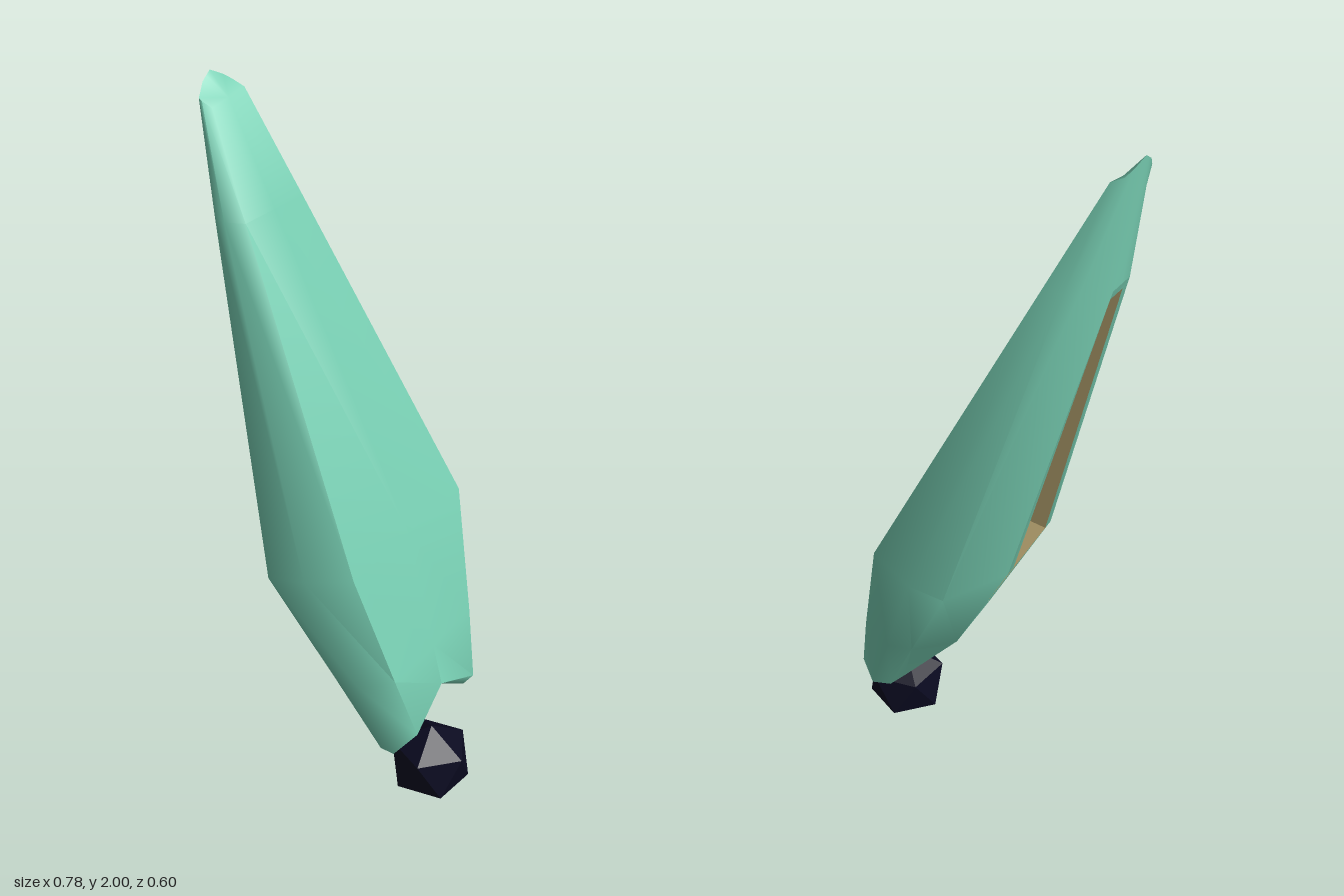
import * as THREE from 'three';
import { toCreasedNormals } from 'three/addons/utils/BufferGeometryUtils.js';

const mat = (name, color) => {
  const m = new THREE.MeshStandardMaterial({ color });
  m.name = name;
  return m;
};

// Collects triangles and quads into one geometry
function surface(crease) {
  const pos = [];
  const tri = (a, b, c) => pos.push(...a, ...b, ...c);
  return {
    tri,
    quad(a, b, c, d) { tri(a, b, c); tri(a, c, d); },
    mesh(name, material) {
      const g = new THREE.BufferGeometry();
      g.setAttribute('position', new THREE.Float32BufferAttribute(pos, 3));
      const m = new THREE.Mesh(toCreasedNormals(g, crease), material);
      m.name = name;
      return m;
    },
  };
}

const mix = (a, b, t) => a.map((v, i) => v + (b[i] - v) * t);

// Cross-sections from bottom to tip: outer front corner, front bevel (2),
// inner front lip, inner back lip, back curve (2), outer back corner
const sections = [
  [[.33, .33, .105], [.285, .265, .15], [.24, .26, .15], [.2, .26, .12],
    [.18, .28, -.15], [.2, .265, -.19], [.25, .26, -.21], [.29, .32, -.2]],
  [[.285, .52, .15], [.21, .495, .208], [.135, .48, .21], [.03, .5, .06],
    [0, .5, -.13], [.08, .5, -.23], [.15, .49, -.25], [.24, .51, -.235]],
  [[.21, .86, .23], [.1, .84, .295], [-.02, .8, .3], [-.11, .8, .15],
    [-.15, .8, -.1], [-.08, .8, -.285], [.02, .81, -.303], [.145, .85, -.29]],
  [[-.21, 1.68, .14], [-.255, 1.68, .168], [-.3, 1.68, .155], [-.355, 1.68, .08],
    [-.362, 1.68, 0], [-.31, 1.68, -.06], [-.28, 1.68, -.08], [-.225, 1.68, -.08]],
  [[-.335, 1.93, .11], [-.36, 1.945, .12], [-.37, 1.95, .12], [-.385, 1.98, .09],
    [-.39, 2, .06], [-.385, 1.98, .02], [-.375, 1.965, 0], [-.345, 1.95, -.01]],
];

export function createModel() {
  const green = mat('mint green', 0x78cfb3);
  const gold = mat('pale gold', 0xd6c084);
  const navy = mat('dark navy', 0x0a0a20);
  const group = new THREE.Group();
  group.name = 'leaningFin';

  // Add a middle point on the inner and outer faces; both form the bottom notch
  const rings = sections.map((s, i) => {
    const inner = i ? mix(s[3], s[4], .5) : [.17, .34, -.03];
    const outer = i ? mix(s[7], s[0], .5) : [.305, .41, -.03];
    return [...s.slice(0, 4), inner, ...s.slice(4), outer];
  });

  // Shell, leaving the inner slot open
  const shell = surface(1.05);
  const n = rings[0].length;
  for (let i = 0; i < rings.length - 1; i++) {
    for (let j = 0; j < n; j++) {
      if ((i === 1 || i === 2) && (j === 3 || j === 4)) continue;
      const k = (j + 1) % n;
      shell.quad(rings[i][j], rings[i + 1][j], rings[i + 1][k], rings[i][k]);
    }
  }
  const bottom = rings[0], top = rings[rings.length - 1];
  for (let j = 0; j < n - 2; j++) {
    shell.tri(bottom[n - 1], bottom[j], bottom[j + 1]);
    shell.tri(top[n - 1], top[j + 1], top[j]);
  }
  group.add(shell.mesh('shell', green));

  // Slot: green rim, gold walls and a dark floor
  const edge = [], lip = [], floor = [];
  const addPoint = (i, front) => {
    const s = sections[i];
    const p = mix(s[front ? 3 : 4], s[front ? 4 : 3], .13);
    const dy = [0, .03, 0, -.03][i];
    p[1] += dy;
    p[0] -= dy * .4;
    edge.push(s[front ? 3 : 4]);
    lip.push(p);
    floor.push([p[0] + [0, .08, .1, .05][i], p[1], p[2]]);
  };
  [1, 2, 3].forEach((i) => addPoint(i, true));
  [3, 2, 1].forEach((i) => addPoint(i, false));
  const rim = surface(.3), walls = surface(.3), base = surface(.3);
  for (let a = 0; a < 6; a++) {
    const b = (a + 1) % 6;
    rim.quad(edge[a], edge[b], lip[b], lip[a]);
    walls.quad(lip[a], lip[b], floor[b], floor[a]);
  }
  base.quad(floor[0], floor[1], floor[4], floor[5]);
  base.quad(floor[1], floor[2], floor[3], floor[4]);
  group.add(rim.mesh('slotRim', green), walls.mesh('slotWalls', gold), base.mesh('slotFloor', navy));

  // Faceted joint ball, standing on a vertex
  const ballGeo = new THREE.IcosahedronGeometry(.122, 0);
  ballGeo.rotateX(-Math.atan((1 + Math.sqrt(5)) / 2));
  ballGeo.rotateY(Math.PI / 2);
  const ball = new THREE.Mesh(ballGeo, navy);
  ball.name = 'jointBall';
  ball.position.set(.28, .122, -.025);
  group.add(ball);

  return group;
}
